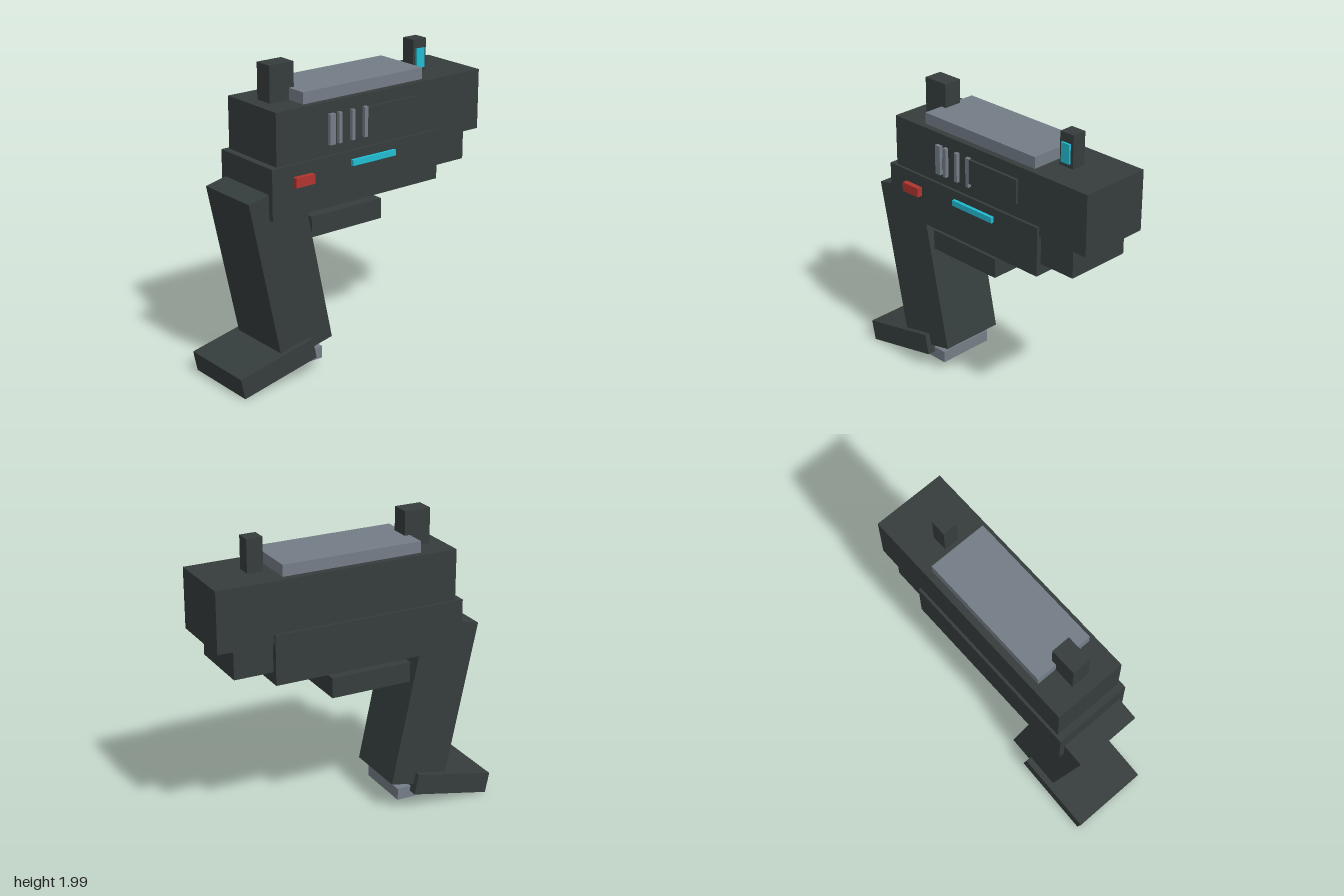
import * as THREE from 'three';

const mat = (name, color) => {
  const m = new THREE.MeshStandardMaterial({ color });
  m.name = name;
  return m;
};

export function createModel() {
  const group = new THREE.Group();
  const dark = mat('charcoal', 0x363d3d);
  const grey = mat('steelGrey', 0x747d87);
  const cyan = mat('cyanGlow', 0x22bcd2);
  const red = mat('red', 0xb0352f);

  const add = (name, material, size, pos, tilt = 0) => {
    const mesh = new THREE.Mesh(new THREE.BoxGeometry(...size), material);
    mesh.name = name;
    mesh.position.set(...pos);
    mesh.rotation.z = tilt;
    group.add(mesh);
  };
  // Upright box given by its extents on each axis
  const block = (name, material, [x0, x1], [y0, y1], [z0, z1]) =>
    add(name, material, [x1 - x0, y1 - y0, z1 - z0],
      [(x0 + x1) / 2, (y0 + y1) / 2, (z0 + z1) / 2]);

  // Body
  block('upperBody', dark, [-0.667, 0.963], [1.37, 1.767], [-0.262, 0.226]);
  block('lowerBody', dark, [-0.713, 0.594], [1.105, 1.431], [-0.28, 0.244]);
  block('frontUnderBlock', dark, [0.3, 0.853], [1.18, 1.4], [-0.242, 0.21]);

  // Slanted grip and its base
  const lean = THREE.MathUtils.degToRad(12);
  add('grip', dark, [0.395, 1.126, 0.45], [-0.55, 0.725, -0.016], lean);
  add('gripBase', dark, [0.563, 0.14, 0.524], [-0.68, 0.133, -0.018], lean);
  block('baseInsert', grey, [-0.7, -0.3], [0.075, 0.155], [-0.215, 0.185]);

  // Trigger and lower guard
  add('trigger', grey, [0.085, 0.24, 0.076], [-0.115, 1.09, -0.014], THREE.MathUtils.degToRad(20));
  block('guard', dark, [-0.376, 0.18], [0.91, 1.044], [-0.215, 0.185]);

  // Top plate and sights
  block('topPlate', grey, [-0.435, 0.51], [1.75, 1.842], [-0.217, 0.183]);
  block('rearSight', dark, [-0.578, -0.398], [1.75, 2], [-0.08, 0.046]);
  block('frontSight', dark, [0.567, 0.673], [1.75, 1.982], [-0.067, 0.032]);
  block('sightLight', cyan, [0.587, 0.652], [1.795, 1.922], [0.03, 0.046]);

  // Details on the front side
  for (const [x0, x1] of [[-0.28, -0.238], [-0.21, -0.186], [-0.11, -0.086], [-0.01, 0.015]])
    block('rib', grey, [x0, x1], [1.498, 1.692], [0.21, 0.25]);
  block('sidePanel', dark, [0.015, 0.418], [1.525, 1.685], [0.21, 0.246]);
  block('lightStrip', cyan, [-0.115, 0.23], [1.338, 1.376], [0.23, 0.266]);
  block('redButton', red, [-0.56, -0.418], [1.293, 1.354], [0.23, 0.28]);

  return group;
}
